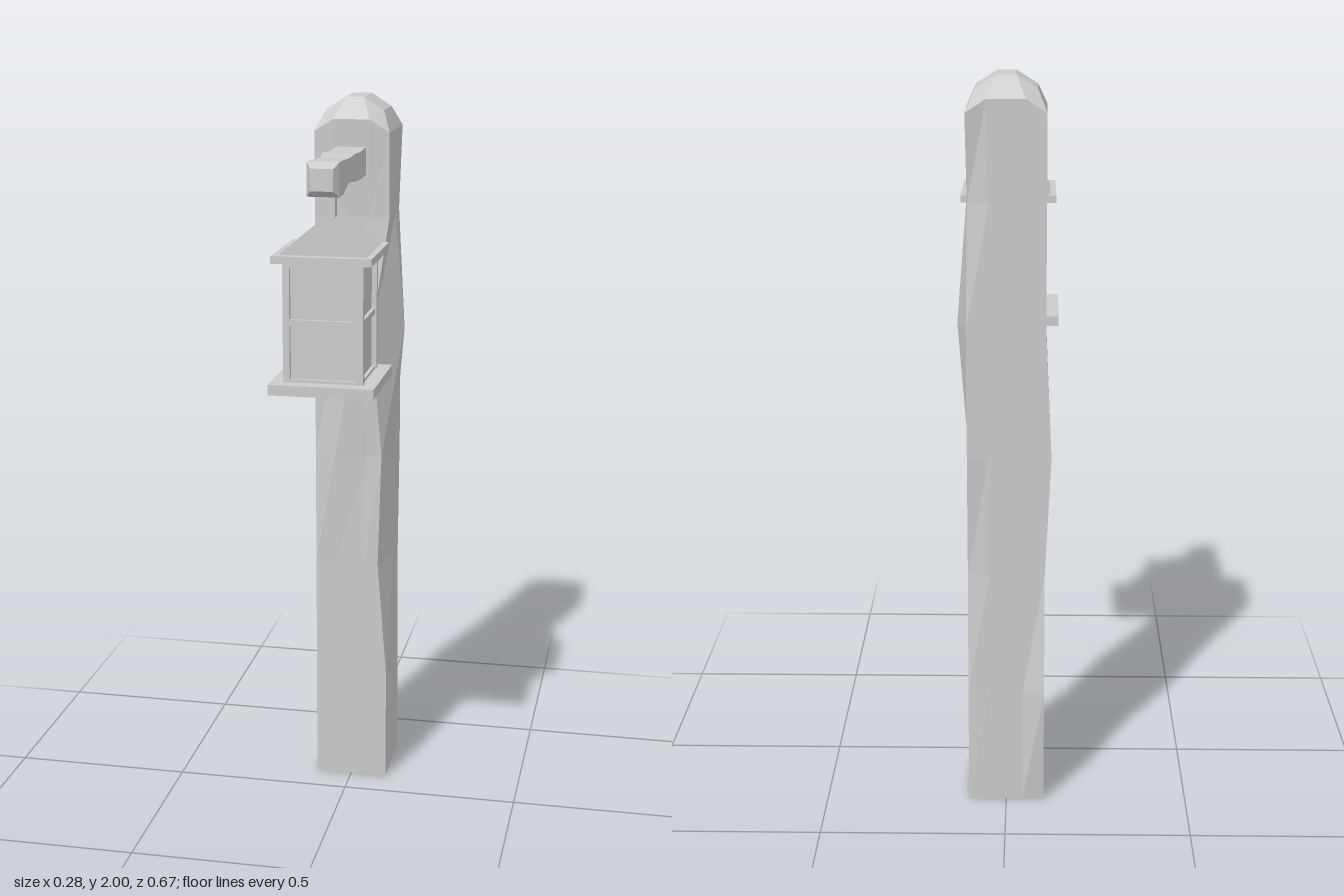
import * as THREE from 'three';

const material = new THREE.MeshStandardMaterial({ color: 0xcccccc, flatShading: true, side: THREE.DoubleSide });

function addMesh(parent, name, geometry, x = 0, y = 0, z = 0) {
  const mesh = new THREE.Mesh(geometry, material);
  mesh.name = name;
  mesh.position.set(x, y, z);
  parent.add(mesh);
  return mesh;
}

function addBox(parent, name, w, h, d, x, y, z) {
  return addMesh(parent, name, new THREE.BoxGeometry(w, h, d), x, y, z);
}

// Joins equal-length rings of points with quads; caps are extra quads by index
function skin(rings, caps = []) {
  const n = rings[0].length;
  const index = [];
  const quad = (a, b, c, d) => index.push(a, b, c, a, c, d);
  for (let r = 0; r < rings.length - 1; r++) {
    for (let i = 0; i < n; i++) {
      const j = (i + 1) % n;
      quad(r * n + i, r * n + j, (r + 1) * n + j, (r + 1) * n + i);
    }
  }
  caps.forEach((c) => quad(...c));
  const geometry = new THREE.BufferGeometry();
  geometry.setAttribute('position', new THREE.Float32BufferAttribute(rings.flat(2), 3));
  geometry.setIndex(index);
  const flat = geometry.toNonIndexed();
  flat.computeVertexNormals();
  return flat;
}

// Ring of ten points: four along the front, one right, four along the back, one left
function postRing(hx, hz, ySide, yMid, inner) {
  const zc = -0.2;
  const front = [[-hx, ySide], [-inner, yMid], [inner, yMid], [hx, ySide]];
  return [
    ...front.map(([x, y]) => [x, y, zc + hz]),
    [hx, ySide, zc],
    ...front.map(([x, y]) => [-x, y, zc - hz]),
    [-hx, ySide, zc],
  ];
}

function postGeometry() {
  const rings = [0, 0.33, 0.67, 1.0, 1.35, 1.68].map((y) => postRing(0.104, 0.104, y, y, 0.045));
  rings.push(postRing(0.104, 0.106, 1.91, 1.945, 0.05));
  rings.push(postRing(0.08, 0.06, 1.965, 2.0, 0.025));

  // Hewn dents and bulges: ring, point, dx, dz
  const dents = [
    [1, 8, 0, -0.031], [1, 5, 0, 0.003],
    [2, 3, -0.027, 0], [2, 2, -0.01, 0], [2, 5, 0, 0.018],
    [3, 8, -0.016, 0], [3, 9, -0.012, 0], [3, 3, -0.016, 0.008], [3, 1, 0, 0.01],
    [4, 3, -0.045, 0.022], [4, 2, -0.03, 0.02], [4, 4, 0.026, -0.015], [4, 0, 0, 0.005],
    [5, 5, -0.004, 0.022], [5, 0, 0, -0.006], [5, 3, 0, -0.004],
    [6, 1, 0, 0.008], [6, 2, 0, 0.008],
  ];
  for (const [r, i, dx, dz] of dents) {
    rings[r][i][0] += dx;
    rings[r][i][2] += dz;
  }
  const t = (rings.length - 1) * 10;
  return skin(rings, [[t, t + 1, t + 7, t + 8], [t + 1, t + 2, t + 6, t + 7], [t + 2, t + 3, t + 5, t + 6]]);
}

// Uneven square beam, given as z, left, right, bottom, top
function armGeometry() {
  const rings = [
    [-0.12, -0.042, 0.04, 1.796, 1.872],
    [0.0, -0.042, 0.041, 1.795, 1.868],
    [0.06, -0.049, 0.041, 1.798, 1.872],
    [0.12, -0.043, 0.034, 1.803, 1.866],
    [0.22, -0.042, 0.04, 1.788, 1.874],
    [0.282, -0.043, 0.042, 1.788, 1.877],
    [0.304, -0.03, 0.03, 1.805, 1.862],
  ].map(([z, l, r, b, t]) => [[l, b, z], [r, b, z], [r, t, z], [l, t, z]]);
  const e = (rings.length - 1) * 4;
  return skin(rings, [[e, e + 1, e + 2, e + 3], [3, 2, 1, 0]]);
}

function createLantern() {
  const lantern = new THREE.Group();
  lantern.name = 'lantern';
  lantern.position.z = 0.19;

  addBox(lantern, 'basePlate', 0.28, 0.028, 0.28, 0, 1.29, 0);
  addBox(lantern, 'eavesPlate', 0.262, 0.02, 0.262, 0, 1.63, 0);
  addBox(lantern, 'glassBody', 0.185, 0.33, 0.185, 0, 1.46, 0);
  addBox(lantern, 'hanger', 0.027, 0.09, 0.027, 0, 1.76, 0);

  for (const x of [-0.097, 0.097]) {
    for (const z of [-0.097, 0.097]) addBox(lantern, 'cornerPost', 0.018, 0.32, 0.018, x, 1.462, z);
  }

  // Rails around the middle, top and bottom of the panes
  for (const [y, h] of [[1.462, 0.016], [1.613, 0.014], [1.308, 0.008]]) {
    for (const s of [-1, 1]) {
      addBox(lantern, 'paneRail', 0.18, h, 0.012, 0, y, s * 0.096);
      addBox(lantern, 'paneRail', 0.012, h, 0.18, s * 0.096, y, 0);
    }
  }

  // Gable roof with its ridge running front to back
  const gable = new THREE.Shape([[-0.115, 1.64], [0.115, 1.64], [0, 1.735]].map((p) => new THREE.Vector2(...p)));
  addMesh(lantern, 'roof', new THREE.ExtrudeGeometry(gable, { depth: 0.218, bevelEnabled: false }), 0, 0, -0.109);
  return lantern;
}

export function createModel() {
  const model = new THREE.Group();
  model.name = 'lanternPost';
  addMesh(model, 'post', postGeometry());
  addMesh(model, 'arm', armGeometry());
  model.add(createLantern());
  return model;
}
